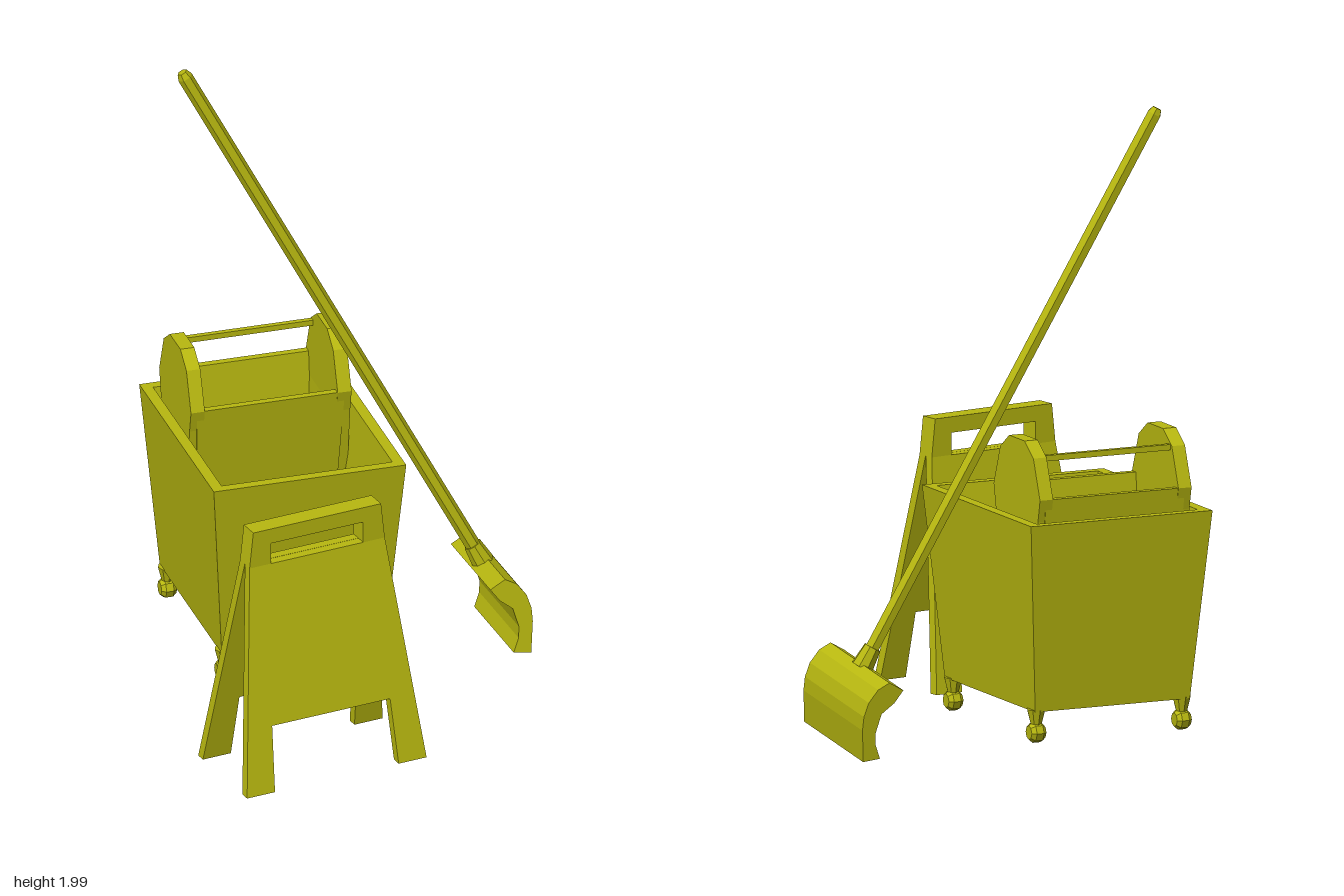
import * as THREE from 'three';

const mat = new THREE.MeshStandardMaterial({ color: 0xb8b810, flatShading: true });

function add(parent, name, geo, x = 0, y = 0, z = 0) {
  const m = new THREE.Mesh(geo, mat);
  m.name = name;
  m.position.set(x, y, z);
  parent.add(m);
  return m;
}

function group(parent, name) {
  const g = new THREE.Group();
  g.name = name;
  parent.add(g);
  return g;
}

// Skin over rectangular loops [halfX, halfZ, y, zOffset], capped at both ends
function rectLoft(loops) {
  const pos = [], idx = [];
  for (const [hx, hz, y, oz = 0] of loops)
    for (const [sx, sz] of [[1, 1], [1, -1], [-1, -1], [-1, 1]]) pos.push(sx * hx, y, sz * hz + oz);
  for (let l = 0; l < loops.length - 1; l++)
    for (let i = 0; i < 4; i++) {
      const a = l * 4 + i, b = l * 4 + (i + 1) % 4;
      idx.push(a, b, b + 4, a, b + 4, a + 4);
    }
  const e = (loops.length - 1) * 4;
  idx.push(0, 2, 1, 0, 3, 2, e, e + 1, e + 2, e, e + 2, e + 3);
  const g = new THREE.BufferGeometry();
  g.setAttribute('position', new THREE.Float32BufferAttribute(pos, 3));
  g.setIndex(idx);
  const flat = g.toNonIndexed();
  flat.computeVertexNormals();
  return flat;
}

// Extruded polygon, centred on its depth
function slab(points, depth) {
  const shape = new THREE.Shape(points.map(([x, y]) => new THREE.Vector2(x, y)));
  const g = new THREE.ExtrudeGeometry(shape, { depth, bevelEnabled: false });
  return g.translate(0, 0, -depth / 2);
}

// Closed outline from its right half
const mirrored = half => [...half, ...half.map(([x, y]) => [-x, y]).reverse()];

function buildBucket(root) {
  const g = group(root, 'mopBucket');
  g.position.set(0.01, 0, -0.257);
  g.rotation.y = -0.327;

  // Tapered tub with a flat rim
  add(g, 'tub', rectLoft([
    [0.266, 0.322, 0.17], [0.312, 0.388, 0.77], [0.277, 0.355, 0.77], [0.22, 0.272, 0.22],
  ]));

  // Wringer: open basket, two cheek plates and a rear bar
  const w = group(g, 'wringer');
  w.position.z = -0.18;
  add(w, 'wringerBasket', rectLoft([
    [0.225, 0.115, 0.46], [0.24, 0.162, 0.84], [0.22, 0.138, 0.84], [0.2, 0.1, 0.49],
  ]));
  const cheek = mirrored([[0.115, 0.5], [0.15, 0.77], [0.165, 0.84], [0.118, 0.965], [0.055, 1.01]]);
  for (const s of [-1, 1])
    add(w, s > 0 ? 'leftCheek' : 'rightCheek', slab(cheek, 0.045), s * 0.238).rotation.y = Math.PI / 2;
  add(w, 'wringerBar', new THREE.BoxGeometry(0.45, 0.018, 0.018), 0, 0.96, -0.1);

  // Casters under the four corners
  const wheelProfile = [[0, -0.025], [0.022, -0.025], [0.033, -0.012], [0.033, 0.012], [0.022, 0.025], [0, 0.025]]
    .map(([r, y]) => new THREE.Vector2(r, y));
  for (const sx of [-1, 1])
    for (const sz of [-1, 1]) {
      const c = group(g, 'caster');
      c.position.set(sx * 0.25, 0, sz * 0.295);
      add(c, 'casterStem', new THREE.CylinderGeometry(0.03, 0.016, 0.055, 8), 0, 0.1475, 0);
      add(c, 'casterWheel', new THREE.LatheGeometry(wheelProfile, 8), 0, 0.102, 0).rotation.z = Math.PI / 2;
    }
}

function buildSign(root) {
  const g = group(root, 'floorSign');
  g.position.set(-0.393, 0, 0.505);
  g.rotation.y = -0.157;

  // Handle: inverted U closing the slot
  add(g, 'signHandle', slab(mirrored([[0.16, 0.84], [0.16, 0.77], [0.235, 0.77], [0.222, 0.89]]), 0.065));

  // Splayed panels with two legs each, sheared outward below the hinge
  const outline = mirrored([[0.205, 0.26], [0.215, 0.05], [0.312, 0.05], [0.235, 0.77]]);
  for (const s of [-1, 1]) {
    const geo = slab(outline, 0.032);
    const p = geo.attributes.position;
    for (let i = 0; i < p.count; i++)
      p.setZ(i, p.getZ(i) + s * (0.0165 + (0.77 - p.getY(i)) * 0.186));
    geo.computeVertexNormals();
    add(g, s > 0 ? 'frontPanel' : 'backPanel', geo);
  }
}

function buildBroom(root) {
  const g = group(root, 'broom');
  const base = new THREE.Vector3(0.56, 0.291, 0.07);
  const tip = new THREE.Vector3(-0.215, 1.99, -0.425);
  const up = tip.clone().sub(base);
  const length = up.length();
  up.normalize();

  // Local frame: y along the handle, x across the head
  const across = new THREE.Vector3(0.344, -0.133, -0.933);
  across.addScaledVector(up, -across.dot(up)).normalize();
  const out = across.clone().cross(up);
  g.quaternion.setFromRotationMatrix(new THREE.Matrix4().makeBasis(across, up, out));
  g.position.copy(base);

  add(g, 'broomHandle', new THREE.CylinderGeometry(0.024, 0.024, length - 0.02, 6), 0, length / 2 - 0.01, 0);
  add(g, 'handleCap', new THREE.CylinderGeometry(0.016, 0.024, 0.02, 6), 0, length - 0.01, 0);
  add(g, 'ferrule', new THREE.CylinderGeometry(0.028, 0.036, 0.07, 8), 0, 0.005, 0);

  // Swept head: curved side profile (outward, up) drawn across the width
  const head = [
    [-0.042, -0.022], [0.014, -0.02], [0.038, -0.055], [0.046, -0.104], [0.038, -0.15],
    [0.02, -0.19], [-0.035, -0.277], [-0.082, -0.245], [-0.045, -0.212], [-0.026, -0.18],
    [-0.013, -0.118], [-0.035, -0.07],
  ].map(([n, y]) => [-n, y]);
  add(g, 'broomHead', slab(head, 0.44)).rotation.y = Math.PI / 2;
}

export function createModel() {
  const root = new THREE.Group();
  root.name = 'cleaningSet';
  buildBucket(root);
  buildSign(root);
  buildBroom(root);
  return root;
}
